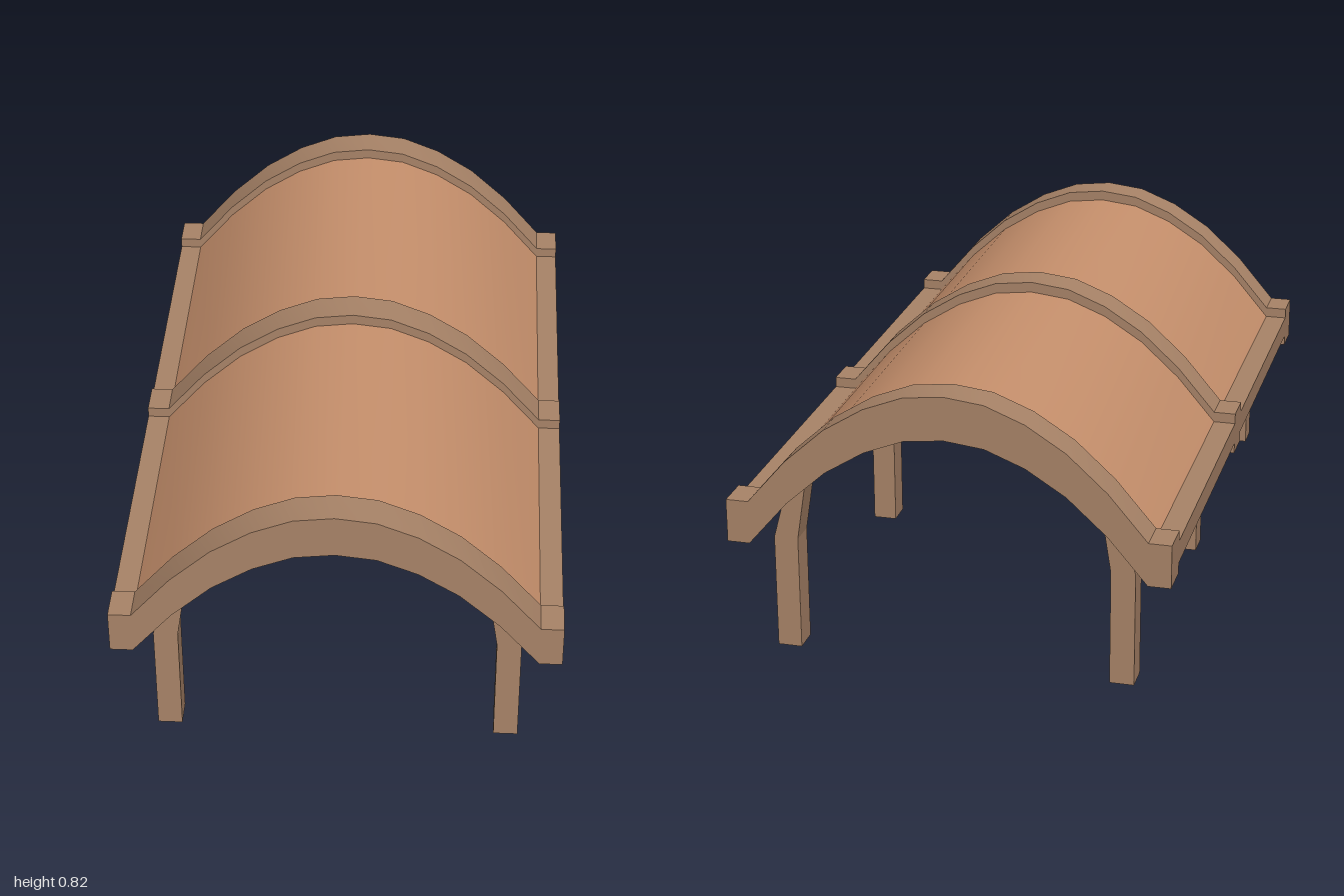
import * as THREE from 'three';
import { toCreasedNormals } from 'three/addons/utils/BufferGeometryUtils.js';

const frameWood = new THREE.MeshStandardMaterial({ color: 0xa98468 });
const roofWood = new THREE.MeshStandardMaterial({ color: 0xc8916d });
const legWood = new THREE.MeshStandardMaterial({ color: 0xa98468, side: THREE.DoubleSide });

// Right half of the vault's upper line, from the crown to the eave
const ARC = [[0, 0.817], [0.111, 0.804], [0.222, 0.76], [0.333, 0.69], [0.445, 0.588], [0.555, 0.459]];
const EAVE_X = 0.618;

// Curved band: upper line lowered by 'drop', with a vertical thickness
function vault(drop, thickness, z0, z1, withEnds) {
  const half = ARC.map(([x, y]) => [x, y - drop]);
  if (withEnds) half.push([EAVE_X, half.at(-1)[1]]);
  const upper = [...half.slice(1).reverse().map(([x, y]) => [-x, y]), ...half];
  const lower = upper.map(([x, y]) => [x, y - thickness]).reverse();
  const shape = new THREE.Shape([...upper, ...lower].map(([x, y]) => new THREE.Vector2(x, y)));
  const geometry = new THREE.ExtrudeGeometry(shape, { depth: z1 - z0, bevelEnabled: false });
  geometry.translate(0, 0, z0);
  return toCreasedNormals(geometry, 0.5);
}

// Post with a bent top leaning in under the roof, hollow at the foot
function legGeometry(side, z0, z1) {
  const sections = [[0.44, 0, 0.508, 0], [0.44, 0.33, 0.508, 0.33], [0.407, 0.54, 0.465, 0.49]];
  const box = new THREE.BoxGeometry(1, 1, 1, 1, 2, 1);
  const bottom = box.groups[3];
  box.setIndex([...box.index.array].filter((_, i) => i < bottom.start || i >= bottom.start + bottom.count));
  box.clearGroups();
  const p = box.attributes.position;
  for (let i = 0; i < p.count; i++) {
    const [xi, yi, xo, yo] = sections[Math.round((p.getY(i) + 0.5) * 2)];
    const outer = p.getX(i) * side > 0;
    p.setXYZ(i, side * (outer ? xo : xi), outer ? yo : yi, p.getZ(i) > 0 ? z1 : z0);
  }
  const flat = box.toNonIndexed();
  flat.computeVertexNormals();
  return flat;
}

export function createModel() {
  const model = new THREE.Group();
  const add = (name, geometry, material) => {
    const mesh = new THREE.Mesh(geometry, material);
    mesh.name = name;
    model.add(mesh);
    return mesh;
  };

  // Roof panels between the ribs
  add('frontRoofPanel', vault(0.03, 0.064, 0.05, 0.9, false), roofWood);
  add('backRoofPanel', vault(0.03, 0.064, -0.9, -0.05, false), roofWood);

  // Arched ribs
  add('frontRib', vault(0, 0.124, 0.9, 1, true), frameWood);
  add('middleRib', vault(0, 0.124, -0.05, 0.05, true), frameWood);
  add('backRib', vault(0, 0.124, -1, -0.9, true), frameWood);

  for (const side of [-1, 1]) {
    const label = side > 0 ? 'left' : 'right';

    // Eave rails along the roof edges
    for (const [name, z] of [['Front', 0.475], ['Back', -0.475]]) {
      const rail = add(label + name + 'Eave', new THREE.BoxGeometry(EAVE_X - 0.555, 0.064, 0.85), frameWood);
      rail.position.set(side * (EAVE_X + 0.555) / 2, 0.397, z);
    }

    // Legs
    for (const [name, z0, z1] of [['Front', 0.847, 0.923], ['Middle', -0.038, 0.038], ['Back', -0.931, -0.855]]) {
      add(label + name + 'Leg', legGeometry(side, z0, z1), legWood);
    }
  }
  return model;
}
